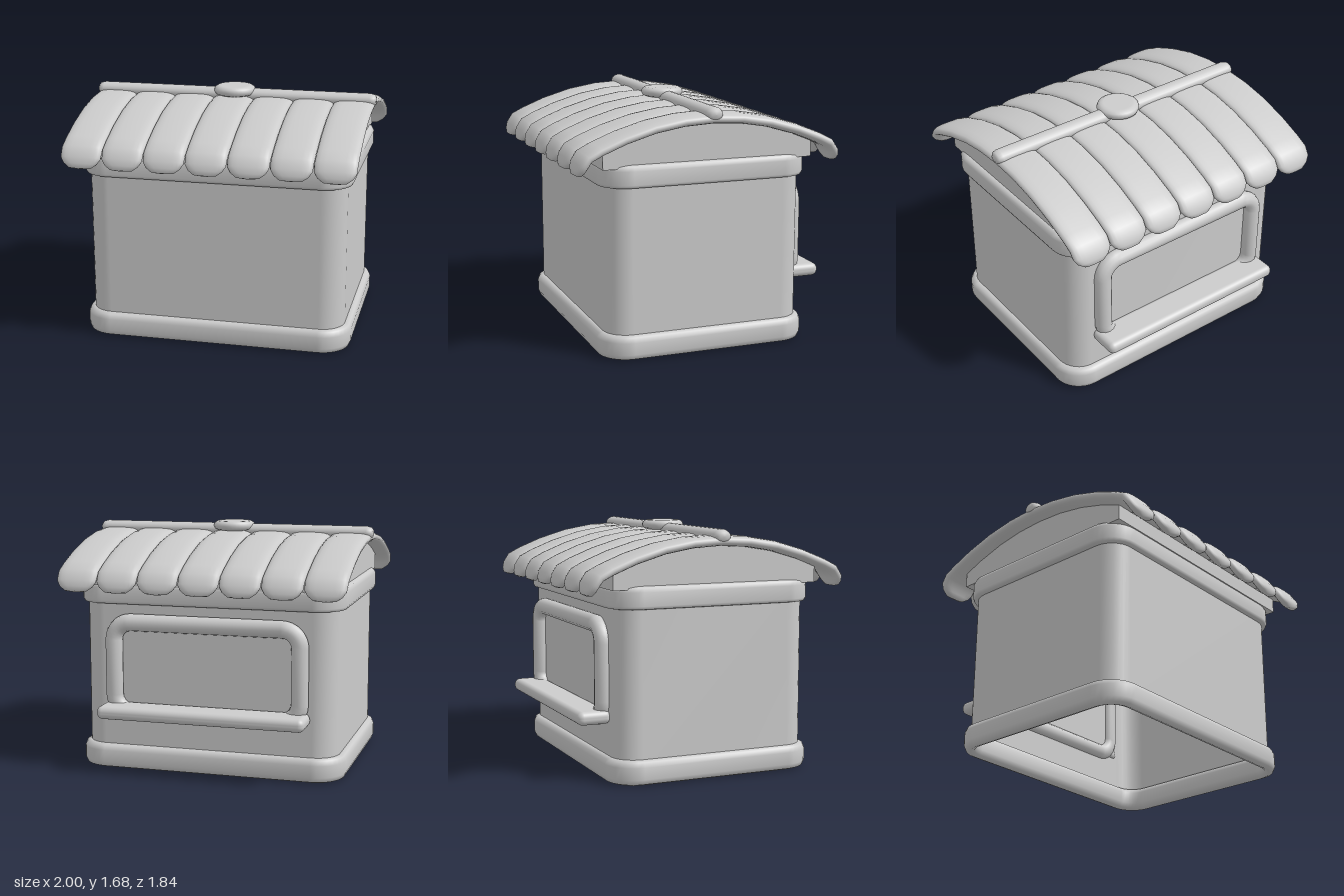
import * as THREE from 'three';
import { RoundedBoxGeometry } from 'three/addons/geometries/RoundedBoxGeometry.js';

// Skin a list of point rings; optionally join the last ring to the first.
function loft(rings, wrapRings, closeRing) {
  const n = rings.length, m = rings[0].length, index = [];
  for (let i = 0; i < (wrapRings ? n : n - 1); i++) {
    for (let j = 0; j < (closeRing ? m : m - 1); j++) {
      const k = (i + 1) % n, l = (j + 1) % m;
      const a = i * m + j, b = i * m + l, c = k * m + j, d = k * m + l;
      index.push(a, b, c, b, d, c);
    }
  }
  const g = new THREE.BufferGeometry();
  g.setAttribute('position', new THREE.Float32BufferAttribute(rings.flat(2), 3));
  g.setIndex(index);
  g.computeVertexNormals();
  return g;
}

// Sweep a profile of [outward offset, y] around a rounded rectangle.
function band(halfW, halfD, radius, profile, closeRing = true) {
  const rings = [], steps = 8;
  [[1, 1], [-1, 1], [-1, -1], [1, -1]].forEach(([sx, sz], q) => {
    for (let i = 0; i <= steps; i++) {
      const t = (q + i / steps) * Math.PI / 2;
      rings.push(profile.map(([o, y]) => [
        sx * (halfW - radius) + (radius + o) * Math.cos(t), y,
        sz * (halfD - radius) + (radius + o) * Math.sin(t)]));
    }
  });
  return loft(rings, true, closeRing);
}

// One curved roof slat: rounded section along an arc, with drooping tapered ends.
function slatGeometry() {
  const half = [ // z, y, half width, half thickness
    [0, 1.58, 0.141, 0.036], [0.2, 1.569, 0.141, 0.036], [0.4, 1.535, 0.141, 0.036],
    [0.6, 1.476, 0.141, 0.036], [0.76, 1.412, 0.141, 0.036], [0.84, 1.372, 0.141, 0.036],
    [0.875, 1.32, 0.138, 0.034], [0.888, 1.285, 0.115, 0.031],
    [0.895, 1.257, 0.075, 0.025], [0.896, 1.25, 0, 0]];
  const path = [...half.slice(1).reverse().map(([z, ...p]) => [-z, ...p]), ...half];
  const bend = (v, p) => Math.sign(v) * Math.abs(v) ** p;
  const rings = path.map(([z, y, w, h], i) => {
    const a = path[Math.max(i - 1, 0)], b = path[Math.min(i + 1, path.length - 1)];
    const len = Math.hypot(b[0] - a[0], b[1] - a[1]);
    const tz = (b[0] - a[0]) / len, ty = (b[1] - a[1]) / len;
    return Array.from({ length: 20 }, (_, j) => {
      const t = j / 20 * Math.PI * 2;
      const n = h * bend(Math.sin(t), 0.8);
      return [w * bend(Math.cos(t), 0.65), y + n * tz, z - n * ty];
    });
  });
  return loft(rings, false, true);
}

export function createModel() {
  const group = new THREE.Group();
  const grey = new THREE.MeshStandardMaterial({ color: 0xcccccc, side: THREE.DoubleSide });
  grey.name = 'plain grey';
  const add = (name, geometry, x = 0, y = 0, z = 0) => {
    const mesh = new THREE.Mesh(geometry, grey);
    mesh.name = name;
    mesh.position.set(x, y, z);
    group.add(mesh);
    return mesh;
  };
  const lathe = (pts, seg) => new THREE.LatheGeometry(pts.map(p => new THREE.Vector2(...p)), seg);

  // Hollow walls, open below
  add('walls', band(0.89, 0.69, 0.16, [[0, 0.08], [0, 1.22]], false));

  // Rounded plinth and eave band
  add('baseRing', band(0.89, 0.69, 0.16, [
    [0, 0], [0.03, 0.012], [0.044, 0.045], [0.044, 0.125], [0.03, 0.158], [0, 0.17],
    [-0.03, 0.16], [-0.05, 0.125], [-0.05, 0.045], [-0.03, 0.012]]));
  add('eaveBand', band(0.89, 0.69, 0.16, [
    [0, 1.15], [0.028, 1.155], [0.038, 1.175], [0.038, 1.265], [0.025, 1.292],
    [0, 1.302], [-0.05, 1.302], [-0.05, 1.15]]));

  // Arched gable block under the roof
  const arch = new THREE.Shape();
  arch.moveTo(-0.73, 1.28);
  arch.lineTo(0.73, 1.28);
  arch.lineTo(0.73, 1.385);
  arch.quadraticCurveTo(0, 1.72, -0.73, 1.385);
  arch.closePath();
  const gable = new THREE.ExtrudeGeometry(arch, { depth: 1.78, bevelEnabled: false, curveSegments: 24 });
  gable.translate(0, 0, -0.89).rotateY(Math.PI / 2);
  add('gable', gable);

  // Seven roof slats
  const slat = slatGeometry();
  for (let i = -3; i <= 3; i++) add('roofSlat', slat, i * 0.283);

  // Ridge bar and round cap
  const bar = lathe([[0, -1], [0.03, -0.998], [0.05, -0.985], [0.06, -0.955],
    [0.06, 0.955], [0.05, 0.985], [0.03, 0.998], [0, 1]], 20);
  bar.rotateZ(Math.PI / 2).scale(1, 0.77, 1);
  add('ridgeBar', bar, 0, 1.612);
  add('ridgeCap', lathe([[0, -0.035], [0.11, -0.034], [0.138, -0.022], [0.147, 0],
    [0.14, 0.02], [0.12, 0.032], [0.1, 0.034], [0, 0.034]], 32), 0, 1.643);

  // Window frame and sill on the back wall
  const circle = Array.from({ length: 12 }, (_, i) => {
    const t = i / 12 * Math.PI * 2;
    return [0.06 * Math.cos(t), 0.06 * Math.sin(t)];
  });
  const frame = band(0.65, 0.31, 0.12, circle);
  frame.rotateX(-Math.PI / 2);
  add('windowFrame', frame, 0, 0.72, -0.71);
  add('windowSill', new RoundedBoxGeometry(1.44, 0.09, 0.23, 4, 0.04), 0, 0.43, -0.79);

  return group;
}
